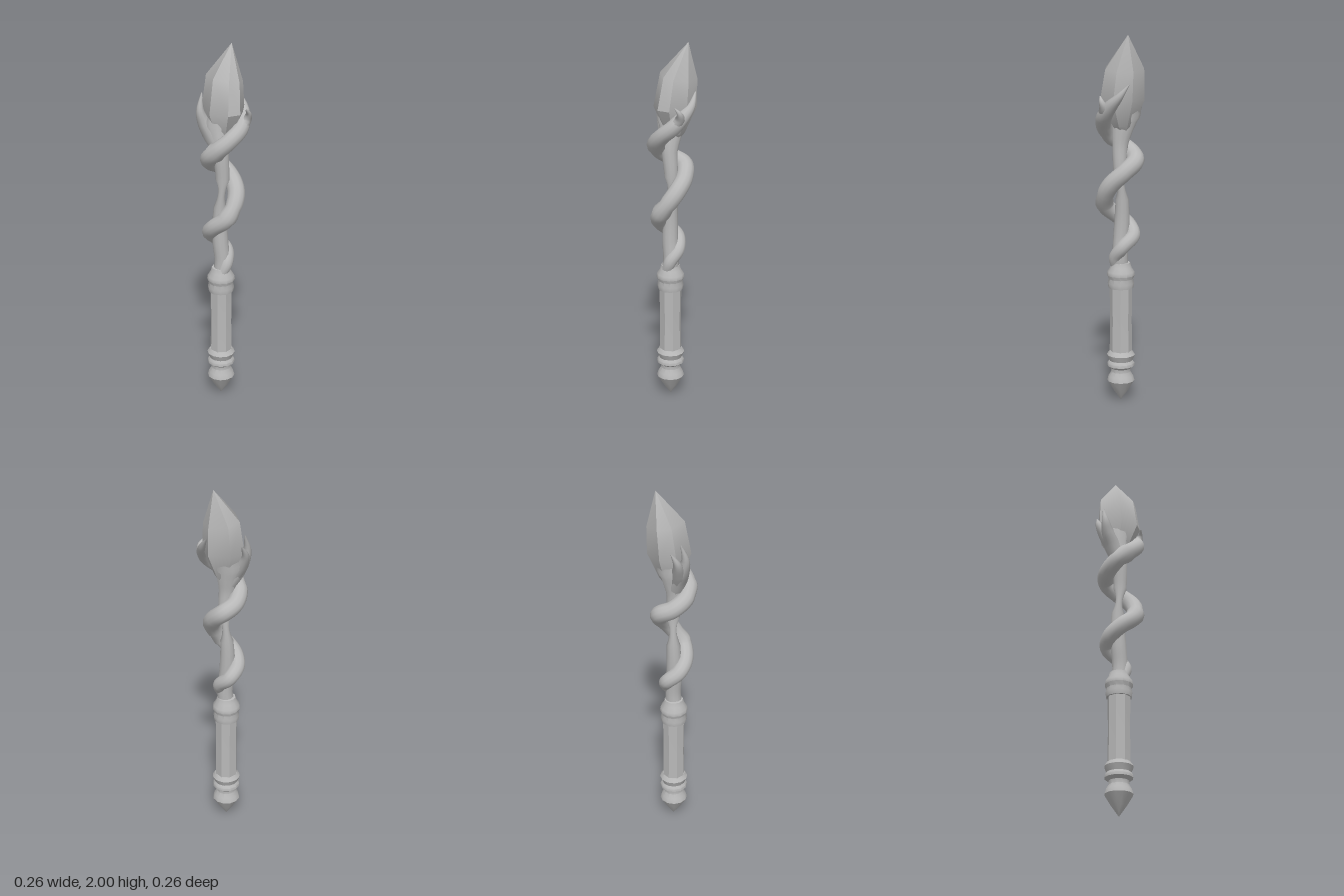
import * as THREE from 'three';
import { toCreasedNormals } from 'three/addons/utils/BufferGeometryUtils.js';
import { ConvexGeometry } from 'three/addons/geometries/ConvexGeometry.js';

const grey = new THREE.MeshStandardMaterial({ color: 0xb8b8b8 });
grey.name = 'plain grey';

// Tube through [x, y, z, radius] points, its radius blended along the path
function taperedTube(points, segments, sides) {
  const curve = new THREE.CatmullRomCurve3(points.map(([x, y, z]) => new THREE.Vector3(x, y, z)));
  const radii = new THREE.CatmullRomCurve3(points.map((p) => new THREE.Vector3(p[3], 0, 0)));
  const geometry = new THREE.TubeGeometry(curve, segments, 1, sides, false);
  const pos = geometry.attributes.position;
  const v = new THREE.Vector3();
  for (let i = 0; i <= segments; i++) {
    const centre = curve.getPointAt(i / segments);
    const r = Math.max(0.001, radii.getPoint(curve.getUtoTmapping(i / segments)).x);
    for (let j = 0; j <= sides; j++) {
      const k = i * (sides + 1) + j;
      v.fromBufferAttribute(pos, k).sub(centre).multiplyScalar(r).add(centre);
      pos.setXYZ(k, v.x, v.y, v.z);
    }
  }
  return geometry;
}

function lathe(profile, sides) {
  return new THREE.LatheGeometry(profile.map(([r, y]) => new THREE.Vector2(r, y)), sides);
}

export function createModel() {
  const group = new THREE.Group();
  const add = (name, geometry, x = 0, z = 0) => {
    const mesh = new THREE.Mesh(geometry, grey);
    mesh.name = name;
    mesh.position.set(x, 0, z);
    group.add(mesh);
  };

  // Turned grip: pointed pommel with rings, faceted handle, upper collar
  const gx = -0.018, gz = -0.004;
  add('pommel', toCreasedNormals(lathe([
    [0, 0], [0.04, 0.057], [0.075, 0.115], [0.068, 0.14], [0.053, 0.165], [0.055, 0.185],
    [0.075, 0.2], [0.074, 0.215], [0.064, 0.23], [0.07, 0.245], [0.077, 0.262], [0.062, 0.285], [0, 0.285],
  ], 12), 0.7), gx, gz);
  add('handle', toCreasedNormals(lathe([[0.062, 0.27], [0.059, 0.46], [0.062, 0.66]], 8), 0.6), gx, gz);
  add('collar', toCreasedNormals(lathe([
    [0, 0.64], [0.068, 0.64], [0.072, 0.665], [0.066, 0.69], [0.076, 0.71], [0.073, 0.73],
    [0.057, 0.755], [0.05, 0.78], [0, 0.79],
  ], 12), 0.7), gx, gz);

  // Wavering central stem, widening under the crystal
  add('stem', taperedTube([
    [-0.018, 0.72, 0, 0.052], [-0.012, 0.82, 0, 0.042], [-0.02, 0.92, -0.005, 0.043],
    [-0.022, 1.02, -0.01, 0.041], [-0.018, 1.13, -0.01, 0.036], [-0.01, 1.28, 0, 0.036],
    [-0.02, 1.42, 0, 0.042], [-0.02, 1.5, -0.012, 0.055], [-0.02, 1.57, -0.025, 0.07],
    [-0.015, 1.62, -0.03, 0.07],
  ], 40, 12));

  // Vine wound twice around the stem, ending as a claw
  add('vine', taperedTube([
    [-0.03, 0.74, 0.02, 0.025], [0.0, 0.81, 0.025, 0.035], [0.022, 0.87, -0.015, 0.037],
    [-0.015, 0.93, -0.068, 0.04], [-0.065, 0.98, -0.04, 0.043], [-0.072, 1.03, 0.02, 0.044],
    [-0.03, 1.09, 0.08, 0.046], [0.02, 1.16, 0.075, 0.046], [0.05, 1.22, 0.04, 0.047],
    [0.055, 1.28, -0.025, 0.046], [0.02, 1.335, -0.08, 0.048], [-0.045, 1.37, -0.065, 0.047],
    [-0.086, 1.42, 0, 0.046], [-0.062, 1.475, 0.06, 0.046], [-0.01, 1.525, 0.086, 0.043],
    [0.05, 1.575, 0.08, 0.042], [0.09, 1.63, 0.045, 0.036], [0.11, 1.68, 0, 0.022],
    [0.105, 1.745, -0.052, 0.003],
  ], 140, 12));

  // Claws that grip the crystal
  const claws = {
    vineFrontClaw: [[0.05, 1.575, 0.08, 0.035], [0.09, 1.625, 0.078, 0.027], [0.095, 1.655, 0.09, 0.015], [0.072, 1.685, 0.1, 0.003]],
    stemOuterClaw: [[-0.02, 1.45, -0.005, 0.04], [-0.055, 1.53, -0.03, 0.048], [-0.092, 1.6, -0.05, 0.036], [-0.11, 1.66, -0.058, 0.022], [-0.092, 1.75, -0.075, 0.003]],
    stemBackClaw: [[-0.055, 1.53, -0.035, 0.042], [-0.075, 1.59, -0.07, 0.036], [-0.085, 1.65, -0.1, 0.021], [-0.06, 1.71, -0.12, 0.003]],
  };
  for (const [name, points] of Object.entries(claws)) add(name, taperedTube(points, 18, 10));

  // Seven-sided crystal with a leaning tip
  const outline = [[0, -0.13], [0.102, -0.07], [0.102, 0.03], [0.04, 0.102], [-0.03, 0.102], [-0.1, 0.03], [-0.082, -0.1]];
  const corners = [new THREE.Vector3(0.065, 2, -0.045), new THREE.Vector3(-0.01, 1.45, -0.02)];
  for (const [x, z] of outline) {
    corners.push(
      new THREE.Vector3(x * 0.45, 1.52, z * 0.45 - 0.01),
      new THREE.Vector3(x, 1.66, z),
      new THREE.Vector3(x * 0.85 + 0.015, 1.825 - x * 0.15, z * 0.87 - 0.014),
    );
  }
  add('crystal', toCreasedNormals(new ConvexGeometry(corners), 0.6));
  return group;
}
